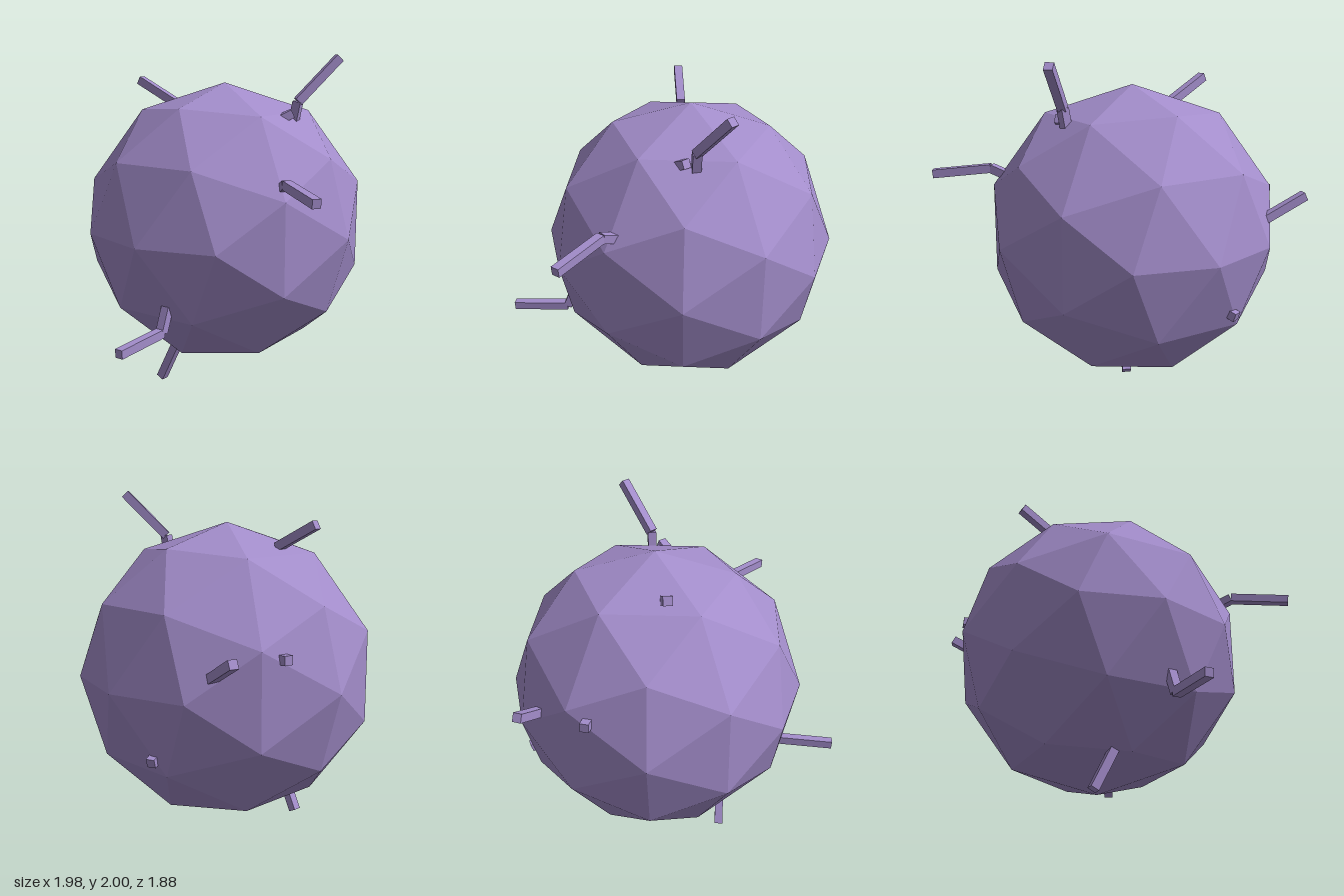
import * as THREE from 'three';

const lilac = new THREE.MeshStandardMaterial({ color: 0xa38dcb, flatShading: true });
lilac.name = 'lilac';

// Square rod between two points
function rod(name, a, b, width = 0.05) {
  const from = new THREE.Vector3(...a), to = new THREE.Vector3(...b);
  const mesh = new THREE.Mesh(new THREE.BoxGeometry(width, width, from.distanceTo(to)), lilac);
  mesh.position.copy(from).lerp(to, 0.5);
  mesh.lookAt(to);
  mesh.name = name;
  return mesh;
}

// Each spine is a path of points from its root to its tip
const spines = {
  topFrontSpine: [[0.17, 1.58, 0.38], [0.175, 1.73, 0.41], [0.352, 1.98, 0.58]],
  topFrontStub: [[0.07, 1.63, 0.35], [0.12, 1.665, 0.405]],
  frontRightSpine: [[-0.25, 1.295, 0.57], [-0.32, 1.33, 0.635], [-0.515, 1.293, 0.925]],
  rightSpine: [[-0.59, 0.61, 0.03], [-0.645, 0.475, 0.03], [-0.99, 0.455, 0.018]],
  lowerBackSpine: [[-0.275, 0.26, -0.15], [-0.275, 0.012, -0.275]],
  lowerFrontStub: [[0.36, 0.25, 0.11], [0.41, 0.19, 0.135]],
  leftStub: [[0.82, 0.63, -0.26], [0.885, 0.608, -0.285]],
  backLeftSpine: [[0.73, 1.09, -0.585], [0.80, 1.215, -0.82]],
  backStub: [[0.43, 1.18, -0.77], [0.447, 1.185, -0.855]],
  topBackSpine: [[0.05, 1.70, -0.405], [0.02, 1.83, -0.655]],
};

export function createModel() {
  const model = new THREE.Group();
  model.name = 'spinyBall';

  // Faceted body
  const body = new THREE.Mesh(new THREE.IcosahedronGeometry(0.864, 1), lilac);
  body.position.set(0.123, 0.964, -0.073);
  body.name = 'body';
  model.add(body);

  // Bent spines and short stubs
  for (const [name, path] of Object.entries(spines)) {
    const spine = new THREE.Group();
    spine.name = name;
    for (let i = 1; i < path.length; i++) {
      spine.add(rod(`${name}Segment${i}`, path[i - 1], path[i]));
    }
    model.add(spine);
  }
  return model;
}
